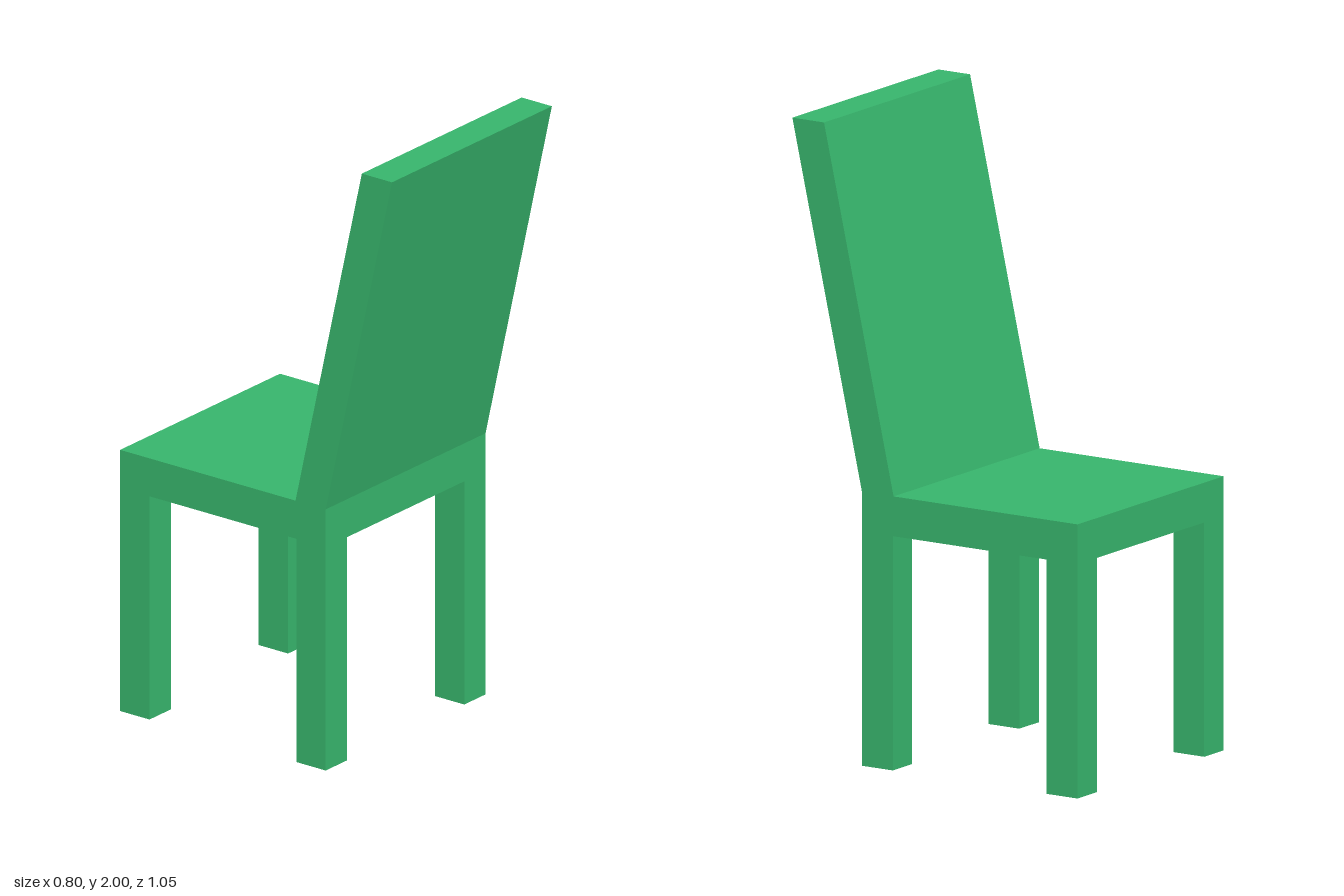
import * as THREE from 'three';

const WIDTH = 0.795;
const FRONT = -0.527, REAR = 0.27; // seat edges along z
const SEAT_BOTTOM = 0.735, SEAT_TOP = 0.86;
const LEG_X = 0.106, LEG_Z = 0.114;

export function createModel() {
  const chair = new THREE.Group();
  chair.name = 'chair';
  const green = new THREE.MeshStandardMaterial({ color: 0x37b56c });
  green.name = 'green';

  const add = (name, geometry, x = 0, y = 0, z = 0) => {
    const mesh = new THREE.Mesh(geometry, green);
    mesh.name = name;
    mesh.position.set(x, y, z);
    chair.add(mesh);
  };

  // Seat slab
  add('seat', new THREE.BoxGeometry(WIDTH, SEAT_TOP - SEAT_BOTTOM, REAR - FRONT),
    0, (SEAT_TOP + SEAT_BOTTOM) / 2, (REAR + FRONT) / 2);

  // Four square legs, flush with the seat corners
  const leg = new THREE.BoxGeometry(LEG_X, SEAT_BOTTOM, LEG_Z);
  for (const [side, sx] of [['left', 1], ['right', -1]]) {
    const x = sx * (WIDTH - LEG_X) / 2;
    add(`${side}SeatFrontLeg`, leg, x, SEAT_BOTTOM / 2, FRONT + LEG_Z / 2);
    add(`${side}BackrestLeg`, leg, x, SEAT_BOTTOM / 2, REAR - LEG_Z / 2);
  }

  // Slanted backrest: side profile (z, y) extruded across the width
  const profile = new THREE.Shape([
    new THREE.Vector2(0.153, SEAT_TOP),
    new THREE.Vector2(REAR, SEAT_TOP),
    new THREE.Vector2(0.527, 2),
    new THREE.Vector2(0.41, 2),
  ]);
  const back = new THREE.ExtrudeGeometry(profile, { depth: WIDTH, bevelEnabled: false });
  back.translate(0, 0, -WIDTH / 2).rotateY(-Math.PI / 2);
  add('backrest', back);

  return chair;
}
